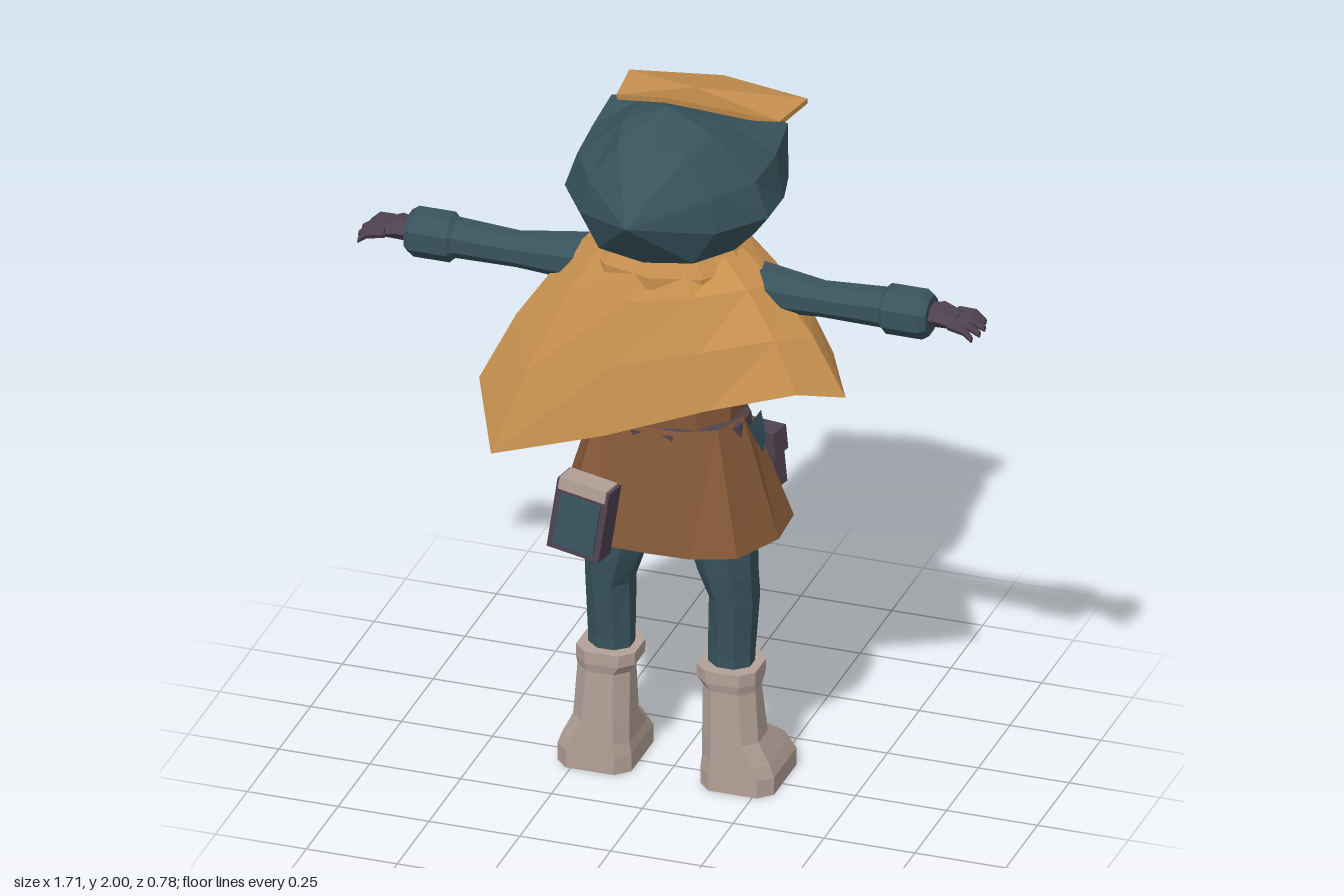
import * as THREE from 'three';

const mat = (name, color) => new THREE.MeshStandardMaterial({ name, color, flatShading: true, side: THREE.DoubleSide });

// Skin between rings of [x, y, z]; a cap is true (centroid) or an apex point
function loft(rings, { closed = true, start = false, end = false } = {}) {
  const tris = [], n = rings[0].length;
  for (let r = 0; r < rings.length - 1; r++) {
    for (let i = 0; i < (closed ? n : n - 1); i++) {
      const j = (i + 1) % n, a = rings[r][i], b = rings[r][j], c = rings[r + 1][j], d = rings[r + 1][i];
      tris.push([a, b, c], [a, c, d]);
    }
  }
  const cap = (ring, apex, flip) => {
    const m = Array.isArray(apex) ? apex : [0, 1, 2].map(k => ring.reduce((s, p) => s + p[k], 0) / n);
    ring.forEach((p, i) => {
      const q = ring[(i + 1) % n];
      tris.push(flip ? [q, p, m] : [p, q, m]);
    });
  };
  if (start) cap(rings[0], start, true);
  if (end) cap(rings[rings.length - 1], end, false);
  // Turn the faces outward by signed volume about the middle
  const mid = new THREE.Vector3(), v = p => new THREE.Vector3(...p).sub(mid);
  rings.flat().forEach(p => mid.add(new THREE.Vector3(...p)));
  mid.divideScalar(n * rings.length);
  const vol = tris.reduce((s, [a, b, c]) => s + v(a).dot(v(b).cross(v(c))), 0);
  if (vol < 0) tris.forEach(t => t.reverse());
  const g = new THREE.BufferGeometry();
  g.setAttribute('position', new THREE.Float32BufferAttribute(tris.flat(2), 3));
  g.computeVertexNormals();
  return g;
}

// Level rings: ellipse, and rectangle with cut corners
const oval = (cx, y, cz, rx, rz, n = 8) => Array.from({ length: n }, (_, i) => {
  const a = (i + 0.5) / n * Math.PI * 2;
  return [cx + rx * Math.cos(a), y, cz + rz * Math.sin(a)];
});
const cutBox = (y, x0, x1, z0, z1, toe, heel = 0.035) => [
  [x0 + toe, y, z0], [x1 - toe, y, z0], [x1, y, z0 + toe * 1.3], [x1, y, z1 - heel],
  [x1 - heel, y, z1], [x0 + heel, y, z1], [x0, y, z1 - heel], [x0, y, z0 + toe * 1.3]];
// Ring across x, used by the sleeves and hands
const xRing = (x, y, z, ry, rz, n = 8) => oval(0, 0, 0, ry, rz, n).map(p => [x, y + p[0], z + p[2]]);
// Half section from bottom centre to top centre, mirrored into a full ring
const mirrorRing = h => [...h, ...h.slice(1, -1).reverse().map(([x, y, z]) => [-x, y, z])];

export function createModel() {
  const teal = mat('teal cloth', 0x38535d), orange = mat('orange cloth', 0xcb9350),
    brown = mat('brown leather', 0x875a39), ochre = mat('ochre cloth', 0xa87340),
    purple = mat('dark purple', 0x4f424f), beige = mat('pale beige', 0xb3a197);
  const model = new THREE.Group();
  const add = (name, geo, m, parent = model) => {
    const mesh = new THREE.Mesh(geo, m);
    mesh.name = name;
    parent.add(mesh);
    return mesh;
  };
  const box = (name, m, parent, w, h, d, x, y, z) => {
    const b = add(name, new THREE.BoxGeometry(w, h, d), m, parent);
    b.position.set(x, y, z);
    return b;
  };

  // Limbs, the same on both sides
  for (const s of [1, -1]) {
    const side = s > 0 ? 'left' : 'right';
    const limb = (name, rings, m) => add(side + name,
      loft(rings.map(r => r.map(([x, y, z]) => [s * x, y, z])), { start: true, end: true }), m);
    limb('Leg', [oval(0.165, 0.3, 0.02, 0.06, 0.055), oval(0.165, 0.38, 0.018, 0.063, 0.055),
      oval(0.17, 0.54, 0.01, 0.065, 0.08), oval(0.155, 0.62, 0.02, 0.08, 0.08),
      oval(0.135, 0.76, 0.025, 0.1, 0.085), oval(0.11, 1.0, 0.02, 0.1, 0.1)], teal);
    limb('Boot', [cutBox(0, 0.095, 0.298, -0.19, 0.1, 0.06), cutBox(0.05, 0.095, 0.298, -0.19, 0.1, 0.06),
      cutBox(0.085, 0.1, 0.285, -0.14, 0.1, 0.05), cutBox(0.145, 0.1, 0.255, -0.055, 0.1, 0.035),
      cutBox(0.29, 0.1, 0.245, -0.035, 0.095, 0.035), cutBox(0.315, 0.085, 0.247, -0.06, 0.1, 0.035),
      cutBox(0.35, 0.085, 0.247, -0.065, 0.1, 0.035)], beige);
    limb('Sleeve', [xRing(0.14, 1.47, 0.02, 0.075, 0.07), xRing(0.28, 1.465, 0.022, 0.062, 0.065),
      xRing(0.42, 1.46, 0.025, 0.048, 0.05), xRing(0.61, 1.465, 0.025, 0.055, 0.055)], teal);
    limb('Cuff', [xRing(0.585, 1.463, 0.025, 0.052, 0.052), xRing(0.6, 1.463, 0.025, 0.067, 0.067),
      xRing(0.7, 1.463, 0.025, 0.067, 0.067), xRing(0.718, 1.463, 0.025, 0.055, 0.055)], teal);
    limb('Palm', [xRing(0.7, 1.462, 0.022, 0.03, 0.035, 6), xRing(0.745, 1.467, 0.018, 0.031, 0.048, 6),
      xRing(0.79, 1.458, 0.018, 0.02, 0.047, 6)], purple);
    for (let f = 0; f < 4; f++) {
      const z = -0.02 + f * 0.026, out = 0.86 - Math.abs(f - 1.4) * 0.01, spread = (f - 1.5) * 0.006;
      limb('Finger' + (f + 1), [xRing(0.775, 1.462, z, 0.015, 0.014, 6), xRing(0.82, 1.457, z + spread, 0.014, 0.013, 6),
        xRing(out, 1.436, z + spread * 1.5, 0.009, 0.009, 6)], purple);
    }
    limb('Thumb', [xRing(0.73, 1.453, -0.012, 0.016, 0.016, 6), xRing(0.765, 1.44, -0.038, 0.013, 0.013, 6),
      xRing(0.8, 1.43, -0.046, 0.009, 0.009, 6)], purple);

    // Half of the skirt, open at the front; each column is [top, hem]
    const half = [[[0.05, 1.05, -0.135], [0.07, 0.79, -0.165]], [[0.12, 1.06, -0.125], [0.2, 0.725, -0.19]],
      [[0.18, 1.07, -0.06], [0.295, 0.74, -0.1]], [[0.2, 1.08, 0.03], [0.302, 0.74, 0.04]],
      [[0.165, 1.08, 0.13], [0.24, 0.745, 0.19]], [[0.08, 1.08, 0.17], [0.12, 0.735, 0.215]],
      [[0, 1.08, 0.175], [0, 0.735, 0.22]]].map(c => c.map(([x, y, z]) => [s * x, y, z]));
    const rows = cols => [0, 1].map(k => cols.map(c => c[k]));
    add(side + 'SkirtFront', loft(rows(half.slice(0, 3)), { closed: false }), ochre);
    add(side + 'SkirtBack', loft(rows(half.slice(2)), { closed: false }), brown);
  }

  // Torso, vest strips and belt
  add('torso', loft([oval(0, 0.98, 0.02, 0.18, 0.14, 10), oval(0, 1.08, 0.02, 0.188, 0.15, 10),
    oval(0, 1.3, 0.02, 0.19, 0.155, 10), oval(0, 1.5, 0.02, 0.19, 0.14, 10),
    oval(0, 1.6, 0.02, 0.1, 0.1, 10)], { start: true, end: true }), brown);
  for (const x of [-0.07, 0.06]) box('vestStrip', brown, model, 0.06, 0.32, 0.02, x, 1.22, -0.132);
  add('belt', loft([oval(0, 1.015, 0.015, 0.2, 0.155, 12), oval(0, 1.03, 0.015, 0.212, 0.166, 12),
    oval(0, 1.065, 0.015, 0.21, 0.166, 12), oval(0, 1.08, 0.015, 0.19, 0.15, 12)]), purple);
  box('beltBuckle', beige, model, 0.075, 0.065, 0.025, 0, 1.045, -0.155);
  add('sideCloth', loft([[[0.215, 1.05, 0.03], [0.215, 1.05, -0.07]], [[0.235, 0.945, -0.03], [0.232, 0.98, -0.06]]],
    { closed: false }), teal);

  // Cape: slanted hem, low on the right, with the arms passing through
  const hem = [[0.5, 1.21, 0.08], [0.4, 1.25, 0.18], [0.18, 1.2, 0.25], [-0.1, 1.09, 0.275],
    [-0.42, 0.965, 0.24], [-0.505, 1.1, 0.09], [-0.45, 1.1, -0.07], [-0.26, 1.19, -0.15],
    [-0.03, 1.32, -0.17], [0.15, 1.36, -0.175], [0.24, 1.26, -0.17], [0.4, 1.23, -0.11]];
  const angles = [5, 30, 65, 100, 140, 172, 205, 235, 265, 295, 315, 340];
  const capeRow = t => hem.map((h, i) => {
    const a = THREE.MathUtils.degToRad(angles[i]), bulge = 0.09 * t * (1 - t);
    const top = [0.2 * Math.cos(a), 1.575, 0.015 + 0.165 * Math.sin(a)];
    const p = top.map((v, k) => v + (h[k] - v) * t);
    return [p[0] + bulge * Math.cos(a), p[1] + bulge * 0.6, p[2] + bulge * Math.sin(a) * 0.7];
  });
  add('cape', loft([0, 0.25, 0.62, 1].map(capeRow)), orange);
  add('collar', loft([oval(0, 1.5, 0.015, 0.225, 0.185, 10), oval(0, 1.535, 0.015, 0.228, 0.187, 10),
    oval(0, 1.59, 0.015, 0.19, 0.165, 10), oval(0, 1.6, 0.015, 0.12, 0.1, 10)]), orange);
  const clasp = box('capeClasp', beige, model, 0.08, 0.1, 0.028, 0.145, 1.39, -0.18);
  clasp.rotation.z = 0.25;

  // Pointed hood with an opening toward -z
  const opening = [[0, 1.6, -0.195], [0.16, 1.6, -0.195], [0.21, 1.69, -0.18], [0.2, 1.805, -0.19], [0.1, 1.835, -0.19], [0, 1.85, -0.19]];
  add('hood', loft([opening,
    [[0, 1.565, -0.2], [0.19, 1.555, -0.206], [0.25, 1.68, -0.185], [0.243, 1.83, -0.203], [0.12, 1.86, -0.2], [0, 1.885, -0.2]],
    [[0, 1.56, -0.06], [0.2, 1.57, -0.06], [0.275, 1.68, -0.08], [0.252, 1.8, -0.08], [0.13, 1.89, -0.05], [0, 1.93, -0.06]],
    [[0, 1.58, 0.08], [0.19, 1.585, 0.07], [0.28, 1.69, 0.06], [0.245, 1.79, 0.06], [0.12, 1.91, 0.06], [0, 1.972, 0.06]],
    [[0, 1.6, 0.24], [0.13, 1.61, 0.22], [0.185, 1.7, 0.21], [0.17, 1.79, 0.19], [0.095, 1.895, 0.17], [0, 1.915, 0.18]],
  ].map(mirrorRing), { end: [0, 1.77, 0.388] }), teal);
  add('face', loft([opening, opening.map(([x, y]) => [x * 0.85, 1.72 + (y - 1.72) * 0.85, -0.04])]
    .map(mirrorRing), { end: [0, 1.71, -0.02] }), purple);

  // Folded brim lying over the hood
  const brim = [[0, 2, 0.07], [0.225, 1.84, -0.19], [0.245, 1.83, -0.35], [0, 1.835, -0.392],
    [-0.245, 1.83, -0.35], [-0.225, 1.84, -0.19]];
  const brimTop = [0, 1.916, -0.16];
  add('brim', loft([brim, brim.map(([x, y, z]) => [x, y - 0.015, z])],
    { start: brimTop, end: [0, 1.9, -0.16] }), orange);

  // Two small pouches at the front
  for (const s of [1, -1]) {
    const pouch = new THREE.Group();
    pouch.name = s > 0 ? 'leftPouch' : 'rightPouch';
    box('pouchBody', purple, pouch, 0.125, 0.16, 0.05, 0, 0, 0);
    box('pouchFlap', purple, pouch, 0.14, 0.07, 0.06, 0, 0.05, -0.003);
    box('pouchClasp', beige, pouch, 0.025, 0.03, 0.012, 0, 0.02, -0.036);
    pouch.position.set(s * 0.175, 0.865, -0.172);
    pouch.rotation.set(0.06, s * -0.25, s * 0.08);
    model.add(pouch);
  }

  // Large pouch at the back
  const pack = new THREE.Group();
  pack.name = 'backPouch';
  box('packBody', purple, pack, 0.15, 0.2, 0.075, 0, 0, 0);
  box('packPanel', teal, pack, 0.115, 0.145, 0.008, 0, -0.012, 0.039);
  box('packFlap', beige, pack, 0.135, 0.035, 0.07, 0, 0.09, 0.008);
  pack.position.set(-0.163, 0.83, 0.243);
  pack.rotation.set(-0.08, -0.1, -0.13);
  model.add(pack);

  return model;
}
